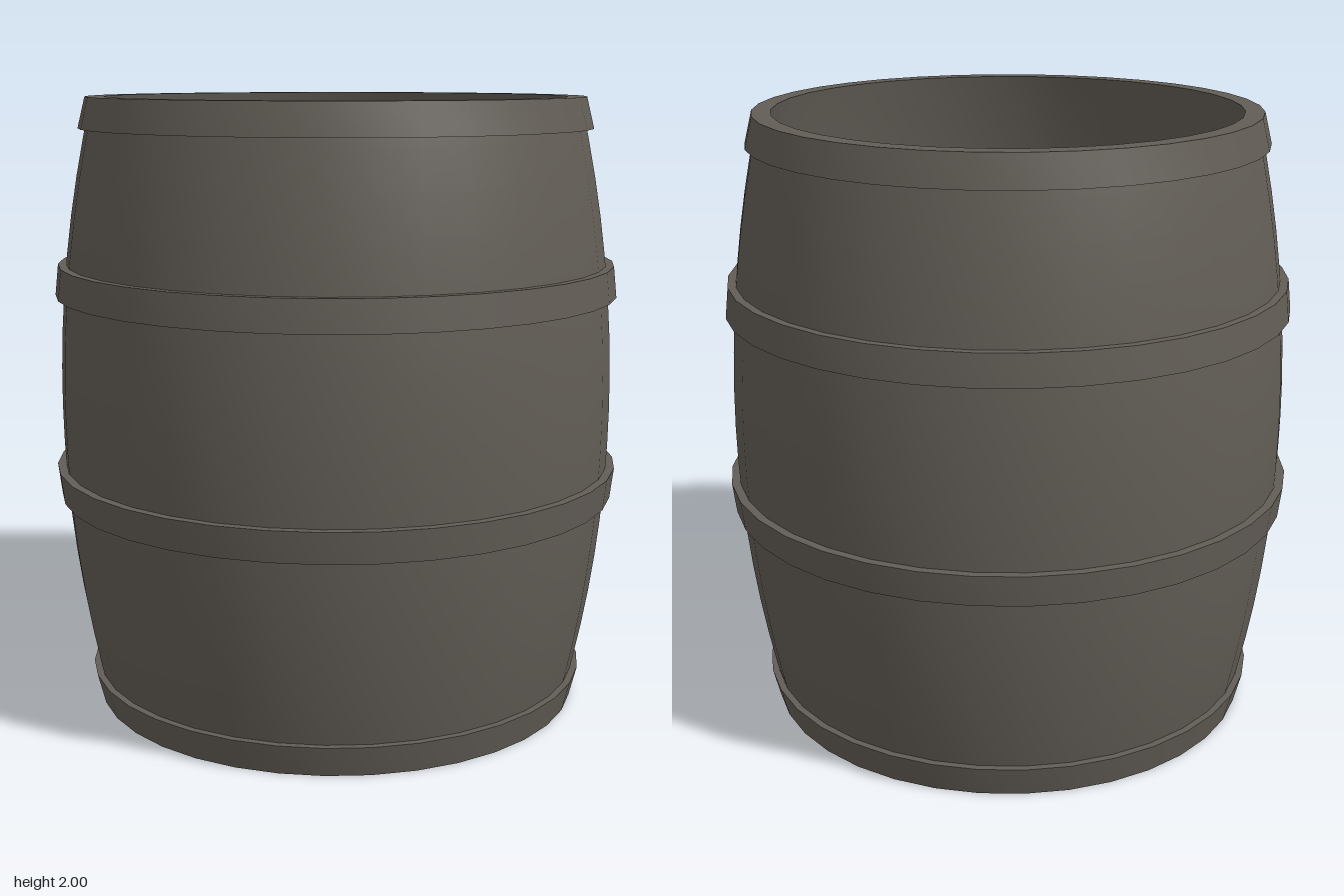
import * as THREE from 'three';
import { toCreasedNormals } from 'three/addons/utils/BufferGeometryUtils.js';

const SIDES = 36;

// Spin a profile of [radius, height] pairs, keeping sharp corners
function spin(name, profile, material) {
  const points = profile.map(([r, y]) => new THREE.Vector2(r, y));
  const geometry = toCreasedNormals(new THREE.LatheGeometry(points, SIDES), 0.5);
  const mesh = new THREE.Mesh(geometry, material);
  mesh.name = name;
  return mesh;
}

// Bulging radius of the staves at a given height
const bulge = (y) => 0.912 - 0.123 * (y - 1) ** 2;

export function createModel() {
  const group = new THREE.Group();
  group.name = 'barrel';
  const wood = new THREE.MeshStandardMaterial({ color: 0x625d56 });
  wood.name = 'weathered grey';

  // Hollow body: underside, outer wall, rim, inner wall, floor
  const steps = 16, wall = 0.04, floorY = 0.06;
  const profile = [[0, 0]];
  for (let i = 0; i <= steps; i++) {
    const y = (2 * i) / steps;
    profile.push([bulge(y), y]);
  }
  for (let i = steps; i >= 0; i--) {
    const y = floorY + ((2 - floorY) * i) / steps;
    profile.push([bulge(y) - wall, y]);
  }
  profile.push([0, floorY]);
  group.add(spin('body', profile, wood));

  // Hoops: bottom and top height, with the outer radius at each
  const hoops = [
    ['bottomHoop', 0, 0.1, 0.81, 0.835],
    ['lowerHoop', 0.7, 0.8, 0.923, 0.935],
    ['upperHoop', 1.365, 1.465, 0.923, 0.912],
    ['topHoop', 1.9, 2, 0.835, 0.81],
  ];
  for (const [name, y0, y1, r0, r1] of hoops) {
    const in0 = bulge(y0), in1 = bulge(y1);
    group.add(spin(name, [[in0, y0], [r0, y0], [r1, y1], [in1, y1]], wood));
  }
  return group;
}
